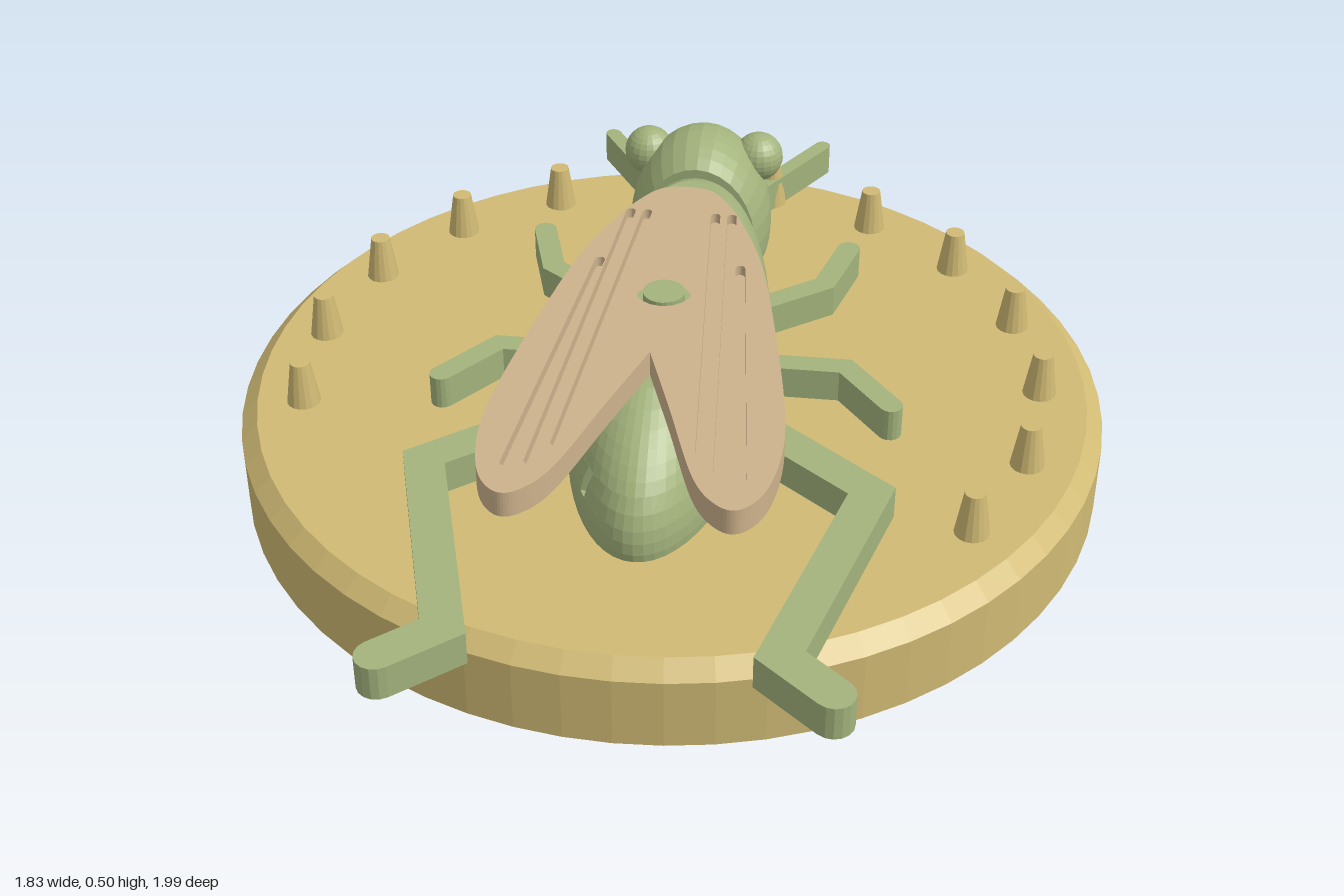
import * as THREE from 'three';

const mat = (name, color) => {
  const m = new THREE.MeshStandardMaterial({ color, flatShading: true });
  m.name = name;
  return m;
};

// Outline of a bent strip with mitred corners and round ends; path is [x, z] pairs
function strip(path, width) {
  const r = width / 2;
  const p = path.map(([x, z]) => new THREE.Vector2(x, -z));
  const dir = p.slice(1).map((q, i) => q.clone().sub(p[i]).normalize());
  const left = [], right = [];
  for (let i = 1; i < p.length - 1; i++) {
    const n = new THREE.Vector2(-dir[i - 1].y - dir[i].y, dir[i - 1].x + dir[i].x).normalize();
    const miter = r / (n.y * dir[i].x - n.x * dir[i].y);
    left.push(p[i].clone().addScaledVector(n, miter));
    right.push(p[i].clone().addScaledVector(n, -miter));
  }
  const cap = (c, d) => {
    const a = Math.atan2(d.y, d.x);
    return Array.from({ length: 9 }, (_, k) => {
      const t = a - Math.PI / 2 + (k / 8) * Math.PI;
      return new THREE.Vector2(c.x + r * Math.cos(t), c.y + r * Math.sin(t));
    });
  };
  return [
    ...right,
    ...cap(p[p.length - 1], dir[dir.length - 1]),
    ...left.reverse(),
    ...cap(p[0], dir[0].clone().negate()),
  ];
}

// Flat plate lying in the ground plane between heights y0 and y1
function plate(shape, y0, y1) {
  const g = new THREE.ExtrudeGeometry(shape, { depth: y1 - y0, bevelEnabled: false, curveSegments: 8 });
  return g.rotateX(-Math.PI / 2).translate(0, y0, 0);
}

// Slice of the ellipsoid body, between two heights and two z limits
function bodySlice(y0, y1, z0, z1, layers, n) {
  const zc = -0.055, yc = 0.22, rx = 0.205, ry = 0.296, rz = 0.62;
  const rings = [];
  for (let j = 0; j <= layers; j++) {
    const y = y0 + ((y1 - y0) * j) / layers;
    const s = Math.sqrt(1 - ((y - yc) / ry) ** 2);
    const angle = (z) => Math.asin(THREE.MathUtils.clamp((z - zc) / (rz * s), -1, 1));
    const a0 = angle(z0), a1 = angle(z1), plus = [], minus = [];
    for (let i = 0; i <= n; i++) {
      const a = a0 + ((a1 - a0) * i) / n;
      const x = rx * s * Math.cos(a), z = zc + rz * s * Math.sin(a);
      plus.push([x, y, z]);
      minus.unshift([-x, y, z]);
    }
    rings.push([...plus, ...minus]);
  }
  const pos = [], tri = (...v) => v.forEach((q) => pos.push(...q));
  const count = rings[0].length;
  const mid = (ring) => [0, ring[0][1], (ring[0][2] + ring[n][2]) / 2];
  for (let i = 0; i < count; i++) {
    const k = (i + 1) % count;
    for (let j = 0; j < layers; j++) {
      tri(rings[j][i], rings[j + 1][i], rings[j][k]);
      tri(rings[j][k], rings[j + 1][i], rings[j + 1][k]);
    }
    tri(mid(rings[layers]), rings[layers][k], rings[layers][i]);
    tri(mid(rings[0]), rings[0][i], rings[0][k]);
  }
  const g = new THREE.BufferGeometry();
  g.setAttribute('position', new THREE.Float32BufferAttribute(pos, 3));
  g.computeVertexNormals();
  return g;
}

export function createModel() {
  const model = new THREE.Group();
  const sand = mat('sand', 0xd0ba74);
  const green = mat('leaf green', 0xa3b37c);
  const tan = mat('wing tan', 0xcdb28c);
  const add = (name, geometry, material, x = 0, y = 0, z = 0) => {
    const mesh = new THREE.Mesh(geometry, material);
    mesh.name = name;
    mesh.position.set(x, y, z);
    model.add(mesh);
    return mesh;
  };
  const v = (x, y) => new THREE.Vector2(x, y);

  // Round base with a chamfered rim
  const top = 0.188, baseZ = -0.055;
  add('base', new THREE.LatheGeometry(
    [v(0, 0), v(0.915, 0), v(0.915, 0.155), v(0.88, top), v(0, top)], 60), sand, 0, 0, baseZ);

  // Thirteen tapered pegs, on a ring of nineteen places left open at the back legs
  const peg = new THREE.CylinderGeometry(0.021, 0.036, 0.1, 16);
  for (let i = -6; i <= 6; i++) {
    const a = 0.19 + (i * 2 * Math.PI) / 19;
    add('peg', peg, sand, 0.782 * Math.sin(a), top + 0.048, baseZ - 0.782 * Math.cos(a));
  }

  // Body, with a middle layer divided by five slots running right through
  const slotLow = 0.26, slotHigh = 0.32;
  add('lowerBody', bodySlice(0.18, slotLow, -1, 1, 3, 32), green);
  add('upperBody', bodySlice(slotHigh, 0.446, -1, 1, 6, 32), green);
  let from = -1;
  for (const z of [0.086, 0.18, 0.271, 0.362, 0.453, 1.011]) {
    add('bodyRib', bodySlice(slotLow, slotHigh, from, z - 0.011, 2, from < 0 ? 22 : 6), green);
    from = z + 0.011;
  }

  // Head: ellipsoid cut flat where it meets the body
  const headProfile = [v(0, -0.55)];
  for (let i = 0; i <= 14; i++) {
    const a = -Math.asin(0.55) + (i / 14) * (Math.PI / 2 + Math.asin(0.55));
    headProfile.push(v(Math.max(0, Math.cos(a)), Math.sin(a)));
  }
  const head = new THREE.LatheGeometry(headProfile, 32).rotateX(-Math.PI / 2).scale(0.163, 0.23, 0.2);
  add('head', head, green, 0, 0.25, -0.62);

  // Eyes, antennae and legs, mirrored
  const limbs = [
    ['antenna', 0.036, [[0.08, -0.7], [0.259, -0.984]]],
    ['frontLeg', 0.05, [[0.1, -0.21], [0.305, -0.36], [0.35, -0.515]]],
    ['middleLeg', 0.05, [[0.1, -0.043], [0.37, -0.043], [0.47, 0.085]]],
    ['hindLeg', 0.08, [[0.08, 0.085], [0.445, 0.375], [0.305, 0.865], [0.408, 0.953]]],
  ];
  for (const side of [-1, 1]) {
    add('eye', new THREE.SphereGeometry(0.056, 20, 14), green, side * 0.127, 0.4, -0.665);
    for (const [name, width, path] of limbs) {
      const outline = strip(path.map(([x, z]) => [x * side, z]), width);
      add(name, plate(new THREE.Shape(outline), top, 0.26), green);
    }
  }

  // Pair of wings as one forked plate
  const half = [
    [0.05, -0.325], [0.09, -0.28], [0.135, -0.19], [0.19, -0.03], [0.235, 0.2], [0.275, 0.46],
    [0.28, 0.6], [0.26, 0.71], [0.22, 0.765], [0.175, 0.755], [0.125, 0.68], [0.06, 0.48], [0, 0.3],
  ].map(([x, z]) => v(x, -z));
  const mirrored = half.slice(0, -1).reverse().map((q) => v(-q.x, q.y));
  const wingShape = () => {
    const s = new THREE.Shape();
    s.moveTo(0, 0.335);
    s.splineThru(half);
    s.splineThru([...mirrored, v(0, 0.335)]);
    s.holes.push(new THREE.Path().absarc(0, -0.08, 0.058, 0, Math.PI * 2, true));
    return s;
  };
  // Upper layer carries three long grooves on each wing
  const grooved = wingShape();
  for (const side of [-1, 1]) {
    for (const [x0, z0, x1, z1] of [
      [0.073, -0.22, 0.133, 0.61], [0.108, -0.22, 0.172, 0.67], [0.145, -0.02, 0.214, 0.68],
    ]) {
      grooved.holes.push(new THREE.Path(strip([[side * x0, z0], [side * x1, z1]], 0.02)));
    }
  }
  add('wingsLower', plate(wingShape(), 0.446, 0.478), tan);
  add('wingsUpper', plate(grooved, 0.478, 0.5), tan);

  // Pin through the wings
  add('wingPin', new THREE.CylinderGeometry(0.043, 0.043, 0.06, 24), green, 0, 0.468, 0.08);

  return model;
}
